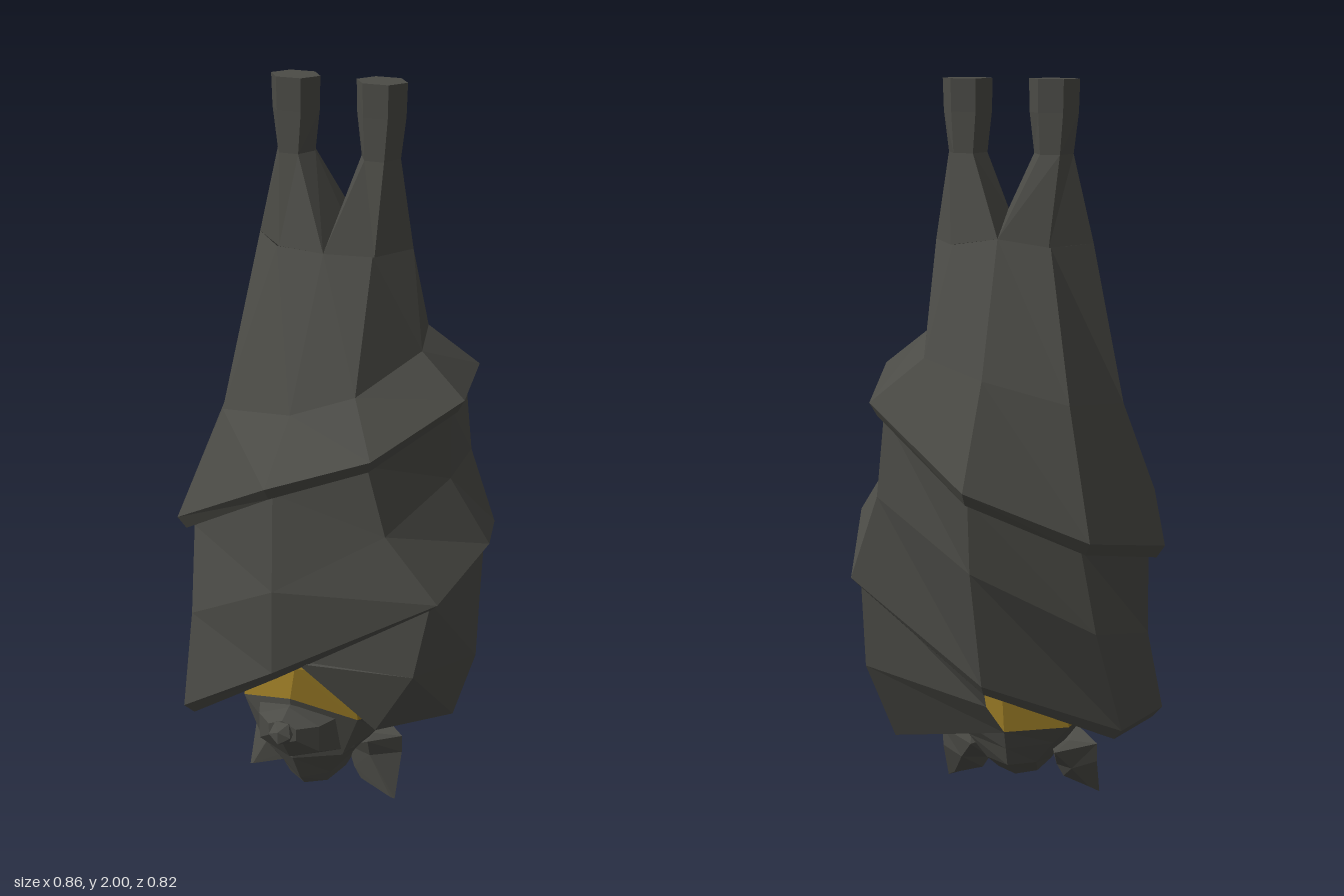
import * as THREE from 'three';

// Flat-shaded skin between successive rings of [x, y, z] points, listed top to bottom
function loft(rings, { closed = true, capTop = false, capBottom = false } = {}) {
  const n = rings[0].length, pos = [];
  const tri = (...p) => p.forEach(v => pos.push(...v));
  for (let r = 0; r < rings.length - 1; r++) {
    const u = rings[r], l = rings[r + 1];
    for (let i = 0; i < (closed ? n : n - 1); i++) {
      const j = (i + 1) % n;
      tri(u[i], u[j], l[i]);
      tri(u[j], l[j], l[i]);
    }
  }
  const cap = (ring, flip) => {
    const c = [0, 1, 2].map(k => ring.reduce((s, p) => s + p[k], 0) / n);
    ring.forEach((p, i) => {
      const q = ring[(i + 1) % n];
      flip ? tri(c, p, q) : tri(c, q, p);
    });
  };
  if (capTop) cap(rings[0], false);
  if (capBottom) cap(rings[rings.length - 1], true);
  const g = new THREE.BufferGeometry();
  g.setAttribute('position', new THREE.Float32BufferAttribute(pos, 3));
  g.computeVertexNormals();
  return g;
}

const inset = (ring, k, dy) => ring.map(([x, y, z]) => [x * k, y + dy, z * k]);

// Eight-sided ring: starts at +x and turns through the front
const oval = (cx, y, rx, zf, zb, dip = [0, 0, 0, 0, 0, 0, 0, 0]) => {
  const cz = (zf + zb) / 2, rz = (zf - zb) / 2;
  return dip.map((d, i) => {
    const a = i * Math.PI / 4;
    return [cx + rx * Math.cos(a), y + d, cz + rz * Math.sin(a)];
  });
};

export function createModel() {
  const fur = new THREE.MeshStandardMaterial({ color: 0x4b4b46, flatShading: true, side: THREE.DoubleSide });
  fur.name = 'charcoal';
  const gold = new THREE.MeshStandardMaterial({ color: 0x957724, flatShading: true, side: THREE.DoubleSide });
  gold.name = 'gold';
  const model = new THREE.Group();
  model.name = 'hangingBat';
  const add = (name, geo, mat = fur) => {
    const m = new THREE.Mesh(geo, mat);
    m.name = name;
    model.add(m);
    return m;
  };

  // Upper wrap: hips, waist and the tilted rim with its turned-under lip
  const hips = [[.19, 1.6, 0], [.12, 1.6, .1], [0, 1.6, .12], [-.13, 1.6, .1],
    [-.22, 1.6, 0], [-.13, 1.6, -.1], [0, 1.62, -.12], [.12, 1.6, -.1]];
  const waist = [[.23, 1.35, .035], [.13, 1.29, .24], [-.03, 1.23, .27], [-.25, 1.18, .19],
    [-.31, 1.2, -.035], [-.21, 1.24, -.25], [0, 1.3, -.29], [.17, 1.33, -.2]];
  const rim = [[.355, 1.25, .07], [.21, 1.18, .35], [-.04, 1.09, .41], [-.36, .88, .26],
    [-.43, .83, -.055], [-.28, .92, -.335], [.02, 1.05, -.41], [.3, 1.22, -.25]];
  add('upperWrap', loft([hips, waist, rim, inset(rim, .95, -.035), inset(rim, .85, -.02)]));

  // Middle wrap: the wing crossing the chest down to the lower right
  const chest = [[.32, 1.02, .05], [.24, .97, .32], [-.03, .8, .4], [-.31, .62, .3],
    [-.385, .56, 0], [-.29, .66, -.28], [.02, .82, -.345], [.29, .97, -.24]];
  const edge = [[.425, .84, .03], [.38, .81, .325], [-.04, .55, .39], [-.33, .34, .335],
    [-.42, .3, .09], [-.34, .33, -.14], [0, .5, -.31], [.36, .75, -.26]];
  add('middleWrap', loft([inset(rim, .9, -.03), chest, edge, inset(edge, .94, -.03), inset(edge, .84, 0)]));

  // Lower wrap: the other wing, visible on one side only (back to front)
  const tucked = inset(edge, .94, -.01);
  add('lowerWrap', loft([
    [tucked[6], tucked[7], tucked[0], tucked[1], [-.02, .58, .36]],
    [[0, .42, -.26], [.33, .5, -.25], [.405, .5, .04], [.32, .58, .32], [.02, .575, .36]],
    [[-.04, .33, -.22], [.28, .26, -.165], [.35, .3, .05], [.21, .37, .29], [.05, .57, .355]],
  ], { closed: false }));

  // Legs with flared feet
  for (const s of [1, -1]) {
    const cx = s > 0 ? .105 : -.115;
    const hex = (y, rx, rz, shift = 0) => [0, 1, 2, 3, 4, 5].map(i => {
      const a = i * Math.PI / 3;
      return [cx + shift + s * rx * Math.cos(a), y, .005 + rz * 1.15 * Math.sin(a)];
    });
    const out = s > 0 ? .19 : -.22;
    const top = [[out, 1.6, 0], [s * .125, 1.6, .1], [0, 1.6, .12],
      [0, 1.68, 0], [0, 1.62, -.12], [s * .125, 1.6, -.1]];
    add(s > 0 ? 'leftLeg' : 'rightLeg', loft(
      [hex(2, .064, .045), hex(1.92, .062, .045), hex(1.82, .05, .05), top],
      { capTop: true }));
  }

  // Gold collar, its lower edge higher at the front
  const drop = [-.08, -.03, .04, -.03, -.08, -.1, -.1, -.1];
  const collarEnd = oval(-.02, .39, .235, .32, -.14, drop);
  add('collar', loft([
    oval(-.01, .6, .12, .24, -.1),
    oval(-.01, .5, .2, .31, -.13, [-.05, 0, .02, 0, -.05, -.05, -.05, -.05]),
    collarEnd,
  ], { capTop: true }), gold);

  // Head, hanging crown down
  add('head', loft([
    collarEnd,
    oval(-.02, .23, .17, .31, -.12),
    oval(-.02, .13, .1, .26, -.1, [0, 0, 0, 0, 0, .03, .04, .03]),
    oval(-.02, .09, .08, .23, 0),
  ], { capBottom: true }));

  // Snout and nose
  const snout = (cy, z, r) => Array.from({ length: 6 }, (_, i) => {
    const a = -i * Math.PI / 3 + Math.PI / 6;
    return [-.02 + r * Math.cos(a), cy + r * .8 * Math.sin(a), z];
  });
  add('snout', loft([snout(.36, .375, .045), snout(.33, .33, .1), snout(.29, .2, .16)], { capTop: true }));
  const nose = add('nose', new THREE.IcosahedronGeometry(.036, 0));
  nose.position.set(-.02, .36, .375);

  // Ears: curved-in blades with an outer tip
  for (const s of [1, -1]) {
    const p = (x, y, z) => [-.02 + s * x, y, z];
    add(s > 0 ? 'leftEar' : 'rightEar', loft([
      [p(.225, .185, .05), p(.15, .2, .13), p(.08, .15, .1), p(.12, .19, -.04)],
      [p(.225, .13, .05), p(.15, .14, .11), p(.1, .08, .1), p(.16, .12, .01)],
      [p(.225, .005, .105), p(.215, .01, .11), p(.12, .045, .1), p(.2, .03, .08)],
    ], { capTop: true, capBottom: true }));
  }
  return model;
}
